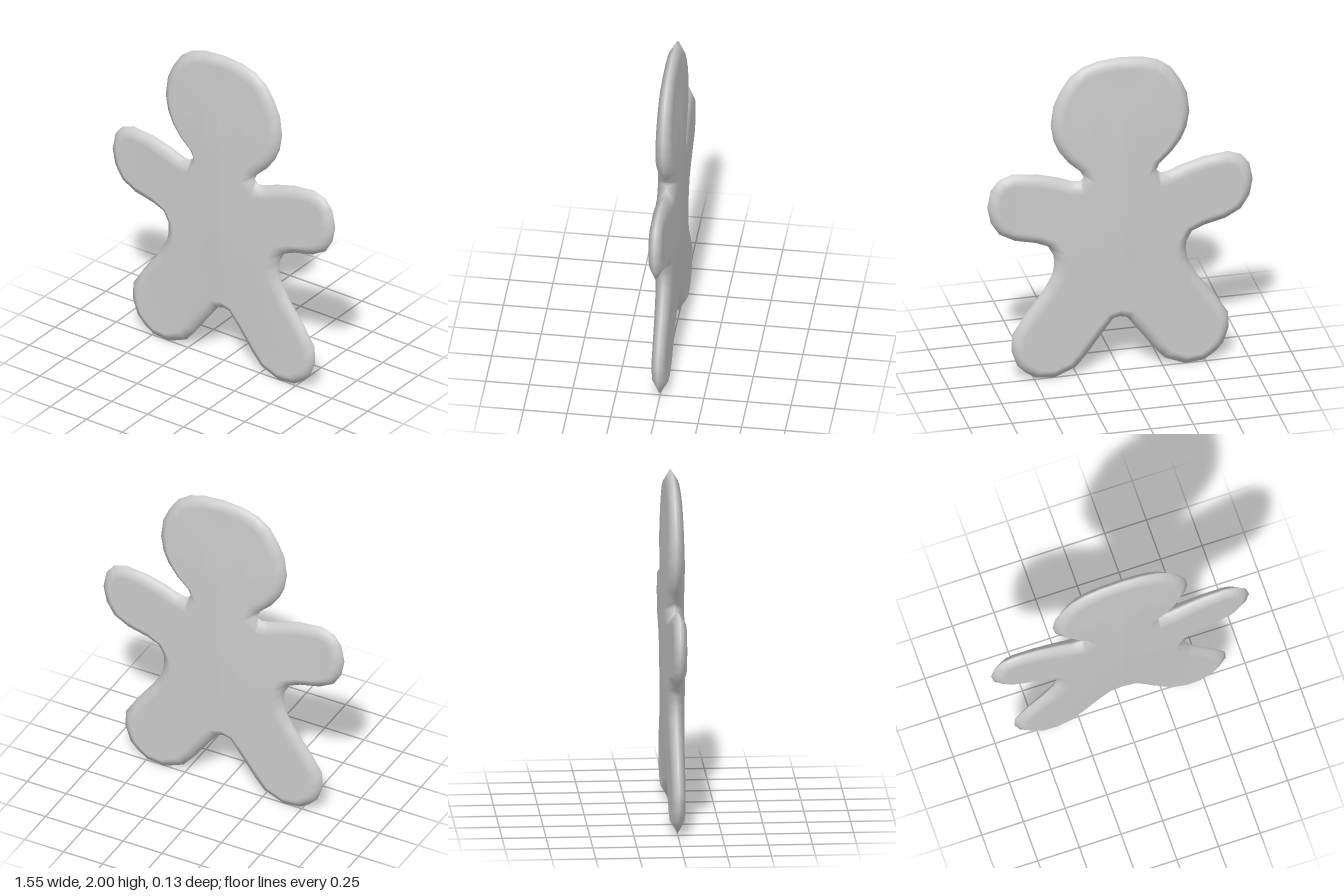
import * as THREE from 'three';

// Left half of the outline, from the crown down to the crotch
const outline = [
  [0, 2], [0.125, 1.99], [0.22, 1.96], [0.295, 1.905], [0.35, 1.82], [0.39, 1.73], [0.405, 1.61],
  [0.388, 1.51], [0.355, 1.435], [0.3, 1.36], [0.23, 1.295], [0.213, 1.255], [0.24, 1.235],
  [0.29, 1.245], [0.365, 1.275], [0.49, 1.31], [0.63, 1.325], [0.71, 1.295], [0.755, 1.235],
  [0.775, 1.13], [0.755, 1.03], [0.705, 0.95], [0.615, 0.9], [0.49, 0.87], [0.42, 0.84],
  [0.388, 0.78], [0.385, 0.72], [0.395, 0.66], [0.45, 0.56], [0.555, 0.42], [0.63, 0.3],
  [0.635, 0.2], [0.6, 0.1], [0.55, 0.05], [0.49, 0.01], [0.38, 0], [0.26, 0.05], [0.2, 0.12],
  [0.09, 0.27], [0.04, 0.335], [0, 0.345],
].map(([x, y]) => new THREE.Vector2(x, y));

const BEVEL = 0.065;
const clamp01 = v => THREE.MathUtils.clamp(v, 0, 1);

// Half thickness: fullest along the middle of the body, thin at the limbs
function thickness(x, y) {
  const across = clamp01(1 - Math.abs(x) / 0.6);
  const along = Math.min(clamp01((y - 0.15) / 0.65), clamp01((1.93 - y) / 0.38));
  return 0.04 + 0.025 * across * along;
}

// Outward direction at an outline point, with the mirrored neighbour at the ends
const mirrored = p => new THREE.Vector2(-p.x, p.y);
const normals = outline.map((p, i) => {
  const prev = outline[i - 1] ?? mirrored(outline[1]);
  const next = outline[i + 1] ?? mirrored(outline[i - 1]);
  const a = p.clone().sub(prev).normalize();
  const b = next.clone().sub(p).normalize();
  const t = a.add(b).normalize();
  return new THREE.Vector2(-t.y, t.x);
});
const inner = outline.map((p, i) => p.clone().addScaledVector(normals[i], -BEVEL));

// Corner: position, t (0 on the rim, 1 on the face) and sideways lean of the normal
const corner = (p, t, n) => [p.x, p.y, t, n ? n.x : 0, n ? n.y : 0];
const middle = (a, b) => a.map((v, i) => (v + b[i]) / 2);

function subdivide(tri, levels, out) {
  if (levels === 0) { out.push(tri); return; }
  const [a, b, c] = tri;
  const ab = middle(a, b), bc = middle(b, c), ca = middle(c, a);
  for (const t of [[a, ab, ca], [ab, b, bc], [ca, bc, c], [ab, bc, ca]]) subdivide(t, levels - 1, out);
}

function buildBody() {
  const coarse = [];
  // Flat face
  for (const f of THREE.ShapeUtils.triangulateShape(inner, [])) {
    coarse.push(f.map(i => corner(inner[i], 1)));
  }
  // Sloping edge
  for (let i = 0; i < outline.length - 1; i++) {
    const o0 = corner(outline[i], 0, normals[i]), o1 = corner(outline[i + 1], 0, normals[i + 1]);
    const i0 = corner(inner[i], 1), i1 = corner(inner[i + 1], 1);
    coarse.push([o0, o1, i1], [o0, i1, i0]);
  }
  const fine = [];
  for (const tri of coarse) {
    const [a, b, c] = tri;
    const area = (b[0] - a[0]) * (c[1] - a[1]) - (b[1] - a[1]) * (c[0] - a[0]);
    subdivide(area < 0 ? [a, c, b] : tri, 3, fine);
  }

  // Mirror the quarter to left and right, front and back
  const positions = [], shading = [], e = 0.01;
  for (const sx of [1, -1]) for (const sz of [1, -1]) {
    for (const [a, b, c] of fine) {
      for (const [x, y, t, nx, ny] of sx * sz > 0 ? [a, b, c] : [a, c, b]) {
        positions.push(sx * x, y, sz * t * thickness(x, y));
        const gx = (thickness(x + e, y) - thickness(x, y)) / e;
        const gy = (thickness(x, y + e) - thickness(x, y - e)) / (2 * e);
        const nz = Math.sqrt(Math.max(0, 1 - nx * nx - ny * ny));
        const n = new THREE.Vector3(sx * (nx - t * gx), ny - t * gy, sz * nz).normalize();
        shading.push(n.x, n.y, n.z);
      }
    }
  }
  const geometry = new THREE.BufferGeometry();
  geometry.setAttribute('position', new THREE.Float32BufferAttribute(positions, 3));
  geometry.setAttribute('normal', new THREE.Float32BufferAttribute(shading, 3));
  return geometry;
}

export function createModel() {
  const group = new THREE.Group();
  group.name = 'gingerbreadFigure';
  const body = new THREE.Mesh(buildBody(), new THREE.MeshStandardMaterial({ color: 0xcccccc }));
  body.name = 'cookieBody';
  group.add(body);
  return group;
}
